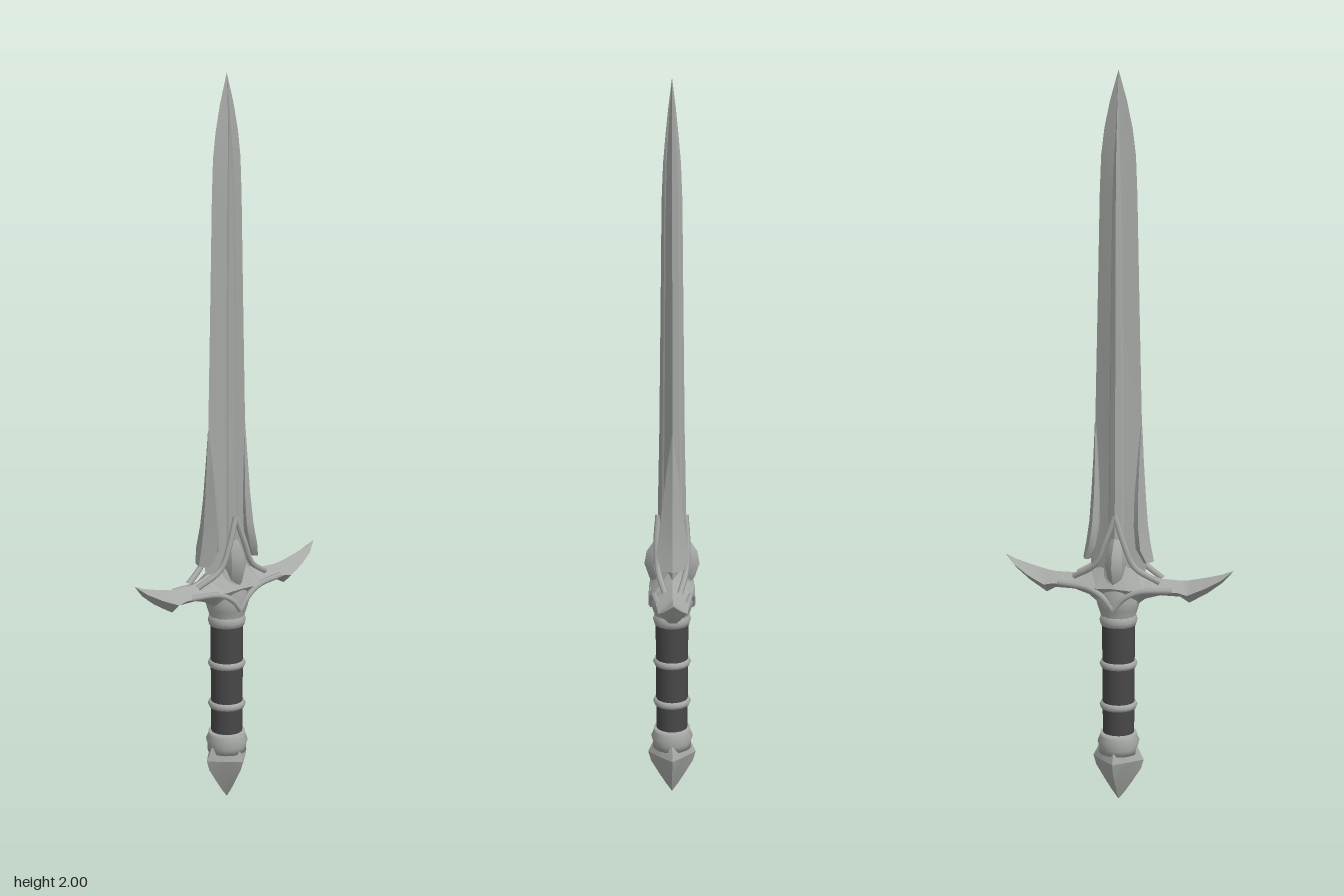
import * as THREE from 'three';
import { toCreasedNormals } from 'three/addons/utils/BufferGeometryUtils.js';

// Skin a list of equal-length closed rings, capping both ends, facing outward.
function loft(rings, crease = 0.45) {
  const n = rings[0].length, tris = [];
  const mean = r => r.reduce((s, p) => s.add(p), new THREE.Vector3()).divideScalar(n);
  const first = mean(rings[0]), last = mean(rings[rings.length - 1]);
  for (let i = 0; i < n; i++) {
    const j = (i + 1) % n;
    for (let k = 0; k < rings.length - 1; k++) {
      const a = rings[k], b = rings[k + 1];
      tris.push([a[i], a[j], b[j]], [a[i], b[j], b[i]]);
    }
    tris.push([first, rings[0][j], rings[0][i]]);
    tris.push([last, rings[rings.length - 1][i], rings[rings.length - 1][j]]);
  }
  // Drop collapsed triangles and flip the winding if the volume is negative
  const solid = tris.filter(([a, b, c]) =>
    b.clone().sub(a).cross(c.clone().sub(a)).length() > 1e-9);
  const volume = solid.reduce((s, [a, b, c]) => s + a.dot(b.clone().cross(c)), 0);
  const points = solid.flatMap(t => (volume < 0 ? [t[0], t[2], t[1]] : t));
  return toCreasedNormals(new THREE.BufferGeometry().setFromPoints(points), crease);
}

const V = (x, y, z) => new THREE.Vector3(x, y, z);

export function createModel() {
  const sword = new THREE.Group();
  sword.name = 'sword';
  const steel = new THREE.MeshStandardMaterial({ color: 0xa6a9a6 });
  steel.name = 'steel';
  const leather = new THREE.MeshStandardMaterial({ color: 0x484848 });
  leather.name = 'dark leather';
  const add = (name, geometry, material = steel) => {
    const mesh = new THREE.Mesh(geometry, material);
    mesh.name = name;
    sword.add(mesh);
    return mesh;
  };
  const lathe = (pts, sides) =>
    new THREE.LatheGeometry(pts.map(p => new THREE.Vector2(...p)), sides);

  // Blade: y, half width, half thickness, half width of the raised spine
  const blade = [
    [0.62, 0.07, 0.04, 0.022], [0.70, 0.08, 0.04, 0.022], [0.85, 0.073, 0.038, 0.021],
    [1.05, 0.065, 0.034, 0.019], [1.4, 0.057, 0.03, 0.016], [1.68, 0.051, 0.027, 0.012],
    [1.78, 0.047, 0.023, 0.008], [1.85, 0.038, 0.017, 0.004], [1.92, 0.023, 0.01, 0.002],
    [2, 0, 0, 0],
  ];
  add('blade', loft(blade.map(([y, w, t, s]) => [
    V(w, y, 0), V(s, y, t * 0.6), V(s * 0.8, y, t * 0.74), V(0, y, t),
    V(-s * 0.8, y, t * 0.74), V(-s, y, t * 0.6), V(-w, y, 0),
    V(-s, y, -t * 0.6), V(-s * 0.8, y, -t * 0.74), V(0, y, -t),
    V(s * 0.8, y, -t * 0.74), V(s, y, -t * 0.6),
  ]), 0.2));

  // Flared fins wrapping the blade edges: y, inner x, outer x, half thickness
  const fin = [
    [1.06, 0.062, 0.066, 0.002], [0.97, 0.055, 0.070, 0.014], [0.87, 0.049, 0.076, 0.026],
    [0.79, 0.049, 0.082, 0.036], [0.73, 0.056, 0.091, 0.043], [0.69, 0.076, 0.099, 0.030],
  ];
  for (const s of [1, -1]) {
    add(s > 0 ? 'leftBladeFin' : 'rightBladeFin', loft(fin.map(([y, a, b, t]) => {
      const m = a + (b - a) * 0.45;
      return [V(s * a, y, t * 0.7), V(s * m, y, t), V(s * b, y, 0),
        V(s * m, y, -t), V(s * a, y, -t * 0.7)];
    }), 0.5));
  }

  // Crossguard: x, top y, bottom y, half depth
  const arm = [
    [0, 0.72, 0.54, 0.06], [0.045, 0.685, 0.562, 0.056], [0.08, 0.655, 0.588, 0.052],
    [0.12, 0.643, 0.6, 0.048], [0.175, 0.642, 0.6, 0.042], [0.2, 0.645, 0.585, 0.039],
    [0.25, 0.657, 0.615, 0.031], [0.29, 0.668, 0.646, 0.018], [0.318, 0.68, 0.678, 0],
  ];
  const bothArms = [...arm.slice(1).reverse().map(([x, ...r]) => [-x, ...r]), ...arm];
  add('crossguard', loft(bothArms.map(([x, top, bottom, d]) => {
    const mid = bottom + (top - bottom) * 0.45;
    return [V(x, top, 0), V(x, mid, d), V(x, bottom, d * 0.25),
      V(x, bottom, -d * 0.25), V(x, mid, -d)];
  }), 0.5));

  // Throat between guard and grip
  add('guardThroat', lathe([[0, 0.505], [0.045, 0.505], [0.047, 0.53], [0.055, 0.555],
    [0.062, 0.58], [0.055, 0.62], [0.035, 0.68], [0, 0.72]], 16));

  // Pointed boss showing on both faces of the guard
  const boss = [[0.565, 0], [0.6, 0.4], [0.64, 0.82], [0.68, 1], [0.715, 0.92],
    [0.75, 0.62], [0.785, 0]];
  add('centreBoss', loft(boss.map(([y, k]) => [
    V(0.03 * k, y, 0), V(0.024 * k, y, 0.05 * k), V(0, y, 0.075 * k), V(-0.024 * k, y, 0.05 * k),
    V(-0.03 * k, y, 0), V(-0.024 * k, y, -0.05 * k), V(0, y, -0.075 * k), V(0.024 * k, y, -0.05 * k),
  ]), 0.6));

  // Raised ribs sweeping from the blade and throat out along the arms
  const ribs = {
    upperRib: [[0, 0.82, 0.037], [0.028, 0.74, 0.042], [0.055, 0.68, 0.038], [0.12, 0.638, 0.02]],
    lowerRib: [[0, 0.56, 0.056], [0.03, 0.595, 0.055], [0.07, 0.615, 0.05], [0.16, 0.622, 0.039]],
  };
  for (const [name, pts] of Object.entries(ribs)) {
    for (const sx of [1, -1]) for (const sz of [1, -1]) {
      const path = new THREE.CatmullRomCurve3(pts.map(([x, y, z]) => V(sx * x, y, sz * z)));
      add(name, new THREE.TubeGeometry(path, 14, 0.008, 6));
    }
  }

  // Wrapped grip and its metal bands
  add('grip', new THREE.CylinderGeometry(0.045, 0.043, 0.34, 20).translate(0, 0.35, 0), leather);
  for (const [y, h] of [[0.52, 0.028], [0.395, 0.018], [0.277, 0.018]]) {
    add('gripBand', lathe([[0.042, y - h / 2], [0.048, y - h / 2], [0.052, y],
      [0.048, y + h / 2], [0.042, y + h / 2]], 20));
  }

  // Pommel collar
  add('pommelCollar', lathe([[0, 0.13], [0.054, 0.14], [0.053, 0.155], [0.058, 0.172],
    [0.051, 0.188], [0.05, 0.198], [0, 0.198]], 16));

  // Pommel: four ridges meeting in a point, with hollowed faces between them
  const pommel = [[0.17, 0.048, 0.7], [0.15, 0.058, 0.66], [0.122, 0.072, 0.6],
    [0.095, 0.064, 0.53], [0.055, 0.039, 0.52], [0.025, 0.019, 0.52], [0, 0, 0.5]];
  add('pommel', loft(pommel.map(([y, r, hollow]) => Array.from({ length: 12 }, (_, i) => {
    const q = Math.floor(i / 3) * Math.PI / 2, c = i % 3;
    const a = q + [0, 0.55, Math.PI / 2 - 0.55][c];
    const k = c ? r * (hollow + 0.16) : r;
    return V(Math.cos(a) * k, y, Math.sin(a) * k * 0.92);
  })), 0.3));

  return sword;
}
